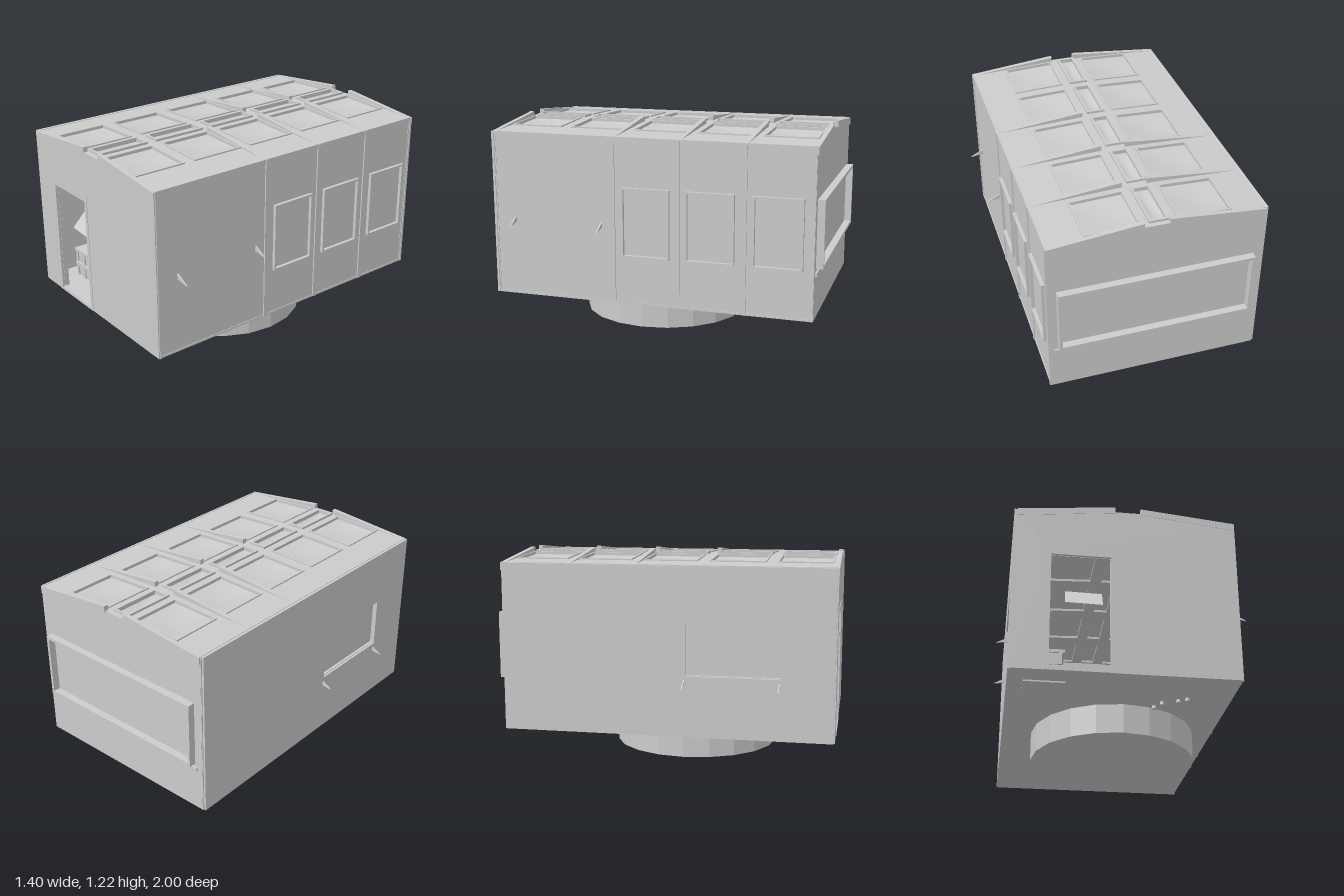
import * as THREE from 'three';

const grey = new THREE.MeshStandardMaterial({ color: 0xcccccc, side: THREE.DoubleSide });
const green = new THREE.MeshStandardMaterial({ color: 0xbfd4b8 });

// Flat plate spanning [a0,a1] x [b0,b1], with rectangular holes, extruded by d
function plate([a0, a1, b0, b1], d, holes = []) {
  const trace = (path, p, q, r, s) => path.moveTo(p, r).lineTo(q, r).lineTo(q, s).lineTo(p, s).closePath();
  const shape = new THREE.Shape();
  trace(shape, a0, a1, b0, b1);
  for (const h of holes) {
    const hole = new THREE.Path();
    trace(hole, ...h);
    shape.holes.push(hole);
  }
  return new THREE.ExtrudeGeometry(shape, { depth: d, bevelEnabled: false });
}

const frame = ([a0, a1, b0, b1], w, d) =>
  plate([a0, a1, b0, b1], d, [[a0 + w, a1 - w, b0 + w, b1 - w]]);

// Roof height: shallow slopes with a flat ridge
const RIDGE = 0.085, EAVE = 0.62;
const roofY = x => 1.165 + 0.022 * (EAVE - Math.max(Math.abs(x), RIDGE)) / (EAVE - RIDGE);

// Lays a plate (x, z) onto the roof slopes
function onRoof(geo, lift) {
  geo.rotateX(Math.PI / 2);
  const p = geo.attributes.position;
  for (let i = 0; i < p.count; i++) p.setY(i, p.getY(i) + lift + roofY(p.getX(i)));
  geo.computeVertexNormals();
  return geo;
}

export function createModel() {
  const model = new THREE.Group();
  const add = (name, geo, x = 0, y = 0, z = 0, mat = grey) => {
    const m = new THREE.Mesh(geo, mat);
    m.name = name;
    m.position.set(x, y, z);
    model.add(m);
    return m;
  };
  const box = (name, x0, x1, y0, y1, z0, z1, mat) =>
    add(name, new THREE.BoxGeometry(x1 - x0, y1 - y0, z1 - z0),
      (x0 + x1) / 2, (y0 + y1) / 2, (z0 + z1) / 2, mat);
  // Plate standing on a side wall, local x running along z
  const onSide = (name, geo, side, inner, d) => {
    const m = add(name, geo, side > 0 ? inner + d : -inner);
    m.rotation.y = -Math.PI / 2;
    return m;
  };

  // Round pedestal
  const pedestal = new THREE.CylinderGeometry(0.49, 0.49, 0.178, 20).toNonIndexed();
  pedestal.scale(1, 1, 1.03);
  pedestal.computeVertexNormals();
  add('pedestal', pedestal, 0.03, 0.089, 0.095);

  // Floor, end walls and side walls
  box('floor', -0.615, 0.615, 0.172, 0.19, -0.955, 0.995);
  const door = [-0.425, -0.09, 0.185, 0.88];
  add('frontWall', plate([-0.62, 0.62, 0.172, 1.165], 0.025, [door]), 0, 0, 0.972);
  box('backWall', -0.62, 0.62, 0.172, 1.165, -0.957, -0.935);
  const sideWindow = [0.14, 0.69, 0.53, 0.83];
  onSide('leftWall', plate([-0.95, 0.99, 0.172, 1.165], 0.02), 1, 0.597, 0.02);
  onSide('rightWall', plate([-0.95, 0.99, 0.172, 1.165], 0.02, [sideWindow]), -1, 0.597 + 0.02, 0.02);
  box('serviceWindow', -0.607, -0.6, 0.53, 0.83, 0.14, 0.69);
  box('serviceSill', -0.624, -0.6, 0.515, 0.535, 0.13, 0.7);

  // Door surround
  add('doorFrame', plate([-0.45, -0.065, 0.172, 0.92], 0.004, [door]), 0, 0, 0.996);
  add('doorLining', frame([-0.437, -0.078, 0.175, 0.892], 0.014, 0.03), 0, 0, 0.955);

  // Back window frame
  add('backWindowFrame', frame([-0.57, 0.57, 0.47, 0.865], 0.018, 0.043), 0, 0, -1);
  box('backWindowSill', -0.59, 0.59, 0.43, 0.45, -0.968, -0.95);

  // Side window frames and wall battens
  for (const side of [1, -1]) {
    const windows = side > 0 ? [0.03, -0.355, -0.75] : [-0.355, -0.75];
    for (const z of windows)
      onSide('sideWindowFrame', frame([z - 0.145, z + 0.145, 0.46, 0.875], 0.012, 0.025), side, 0.612, 0.025);
    const battens = [-0.95, -0.557, -0.167, 0.985];
    if (side > 0) battens.push(0.23);
    for (const z of battens) {
      const depth = Math.abs(z) > 0.9 ? 0.012 : 0.024;
      box('batten', side > 0 ? 0.61 : -0.625, side > 0 ? 0.625 : -0.61, 0.172, 1.165, z - depth / 2, z + depth / 2);

      // Tapered rafter above each batten
      const rafter = new THREE.Shape();
      const inner = side > 0 ? 0.08 : 0.065;
      rafter.moveTo(side * 0.62, 1.12).lineTo(side * 0.62, 1.165).lineTo(side * 0.58, 1.168)
        .lineTo(side * inner, 1.218).lineTo(side * inner, 1.18).closePath();
      add('rafter', new THREE.ExtrudeGeometry(rafter, { depth: 0.028, bevelEnabled: false }), 0, 0, z - 0.014);
    }
    // Eave and base trims
    box('eaveTrim', side * 0.615 - 0.006, side * 0.615 + 0.006, 1.15, 1.168, -0.955, 0.99);
    box('baseTrim', side * 0.615 - 0.006, side * 0.615 + 0.006, 0.172, 0.184, -0.955, 0.99);

    // Small wall hooks
    const y = side > 0 ? 0.66 : 0.52;
    for (const z of side > 0 ? [0.305, 0.855] : [0.13, 0.68]) {
      const hook = new THREE.Shape();
      hook.moveTo(side * 0.61, y).lineTo(side * 0.7, y - 0.048).lineTo(side * 0.61, y - 0.036).closePath();
      add('wallHook', new THREE.ExtrudeGeometry(hook, { depth: 0.008, bevelEnabled: false }), 0, 0, z - 0.004);
    }
  }

  // Roof in three strips, each with a row of five skylights
  const rows = [[-0.915, -0.62], [-0.53, -0.23], [-0.135, 0.165], [0.255, 0.565], [0.65, 0.95]];
  const strips = [
    [-EAVE, -RIDGE, -0.42, -0.125],
    [-RIDGE, RIDGE, -0.055, 0.03],
    [RIDGE, EAVE, 0.1, 0.395],
  ];
  strips.forEach(([x0, x1, s0, s1], k) => {
    add('roofPanel', onRoof(plate([x0, x1, -0.957, 0.997], 0.025, rows.map(([a, b]) => [s0, s1, a, b])), 0));
    for (const [a, b] of rows) {
      const w = k === 1 ? 0.014 : 0.01;
      add('skylightRim', onRoof(frame([s0 - w, s1 + w, a - w, b + w], w, 0.02), k === 1 ? 0.014 : 0.008));
      // Dished pane
      const pane = new THREE.PlaneGeometry(s1 - s0, b - a, 8, 8).rotateX(-Math.PI / 2);
      const p = pane.attributes.position;
      for (let i = 0; i < p.count; i++) {
        const u = 2 * p.getX(i) / (s1 - s0), v = 2 * p.getZ(i) / (b - a);
        p.setY(i, roofY(p.getX(i) + (s0 + s1) / 2) - 0.01 - 0.014 * (1 - u * u) * (1 - v * v));
      }
      pane.computeVertexNormals();
      add('skylightPane', pane, (s0 + s1) / 2, 0, (a + b) / 2);
    }
  });

  // Fittings under the floor
  for (const [x, z] of [[0.205, 0.6], [0.24, 0.66], [0.325, 0.7], [0.37, 0.73]])
    add('underfloorPeg', new THREE.CylinderGeometry(0.01, 0.014, 0.024, 8), x, 0.164, z);
  box('underfloorPlate', -0.55, -0.32, 0.163, 0.173, 0.7, 0.86);

  // Stacked chest inside the door
  for (const y of [0.19, 0.285]) {
    box('chest', -0.52, -0.34, y, y + 0.075, 0.63, 0.83);
    box('chestLid', -0.53, -0.325, y + 0.07, y + 0.088, 0.62, 0.84);
    for (const x of [-0.51, -0.43, -0.35]) box('chestStrap', x - 0.01, x + 0.01, y, y + 0.075, 0.625, 0.838);
  }

  // Bed at the back
  box('bedFrame', -0.3, 0.5, 0.25, 0.285, -0.9, -0.45);
  box('mattress', -0.28, 0.48, 0.285, 0.32, -0.88, -0.47, green);
  for (const x of [-0.28, 0.48]) for (const z of [-0.88, -0.47])
    box('bedLeg', x - 0.015, x + 0.015, 0.185, 0.26, z - 0.015, z + 0.015);
  box('backBench', -0.59, 0.59, 0.36, 0.38, -0.935, -0.88);

  // Tilted sheet hanging behind the doorway
  const sheet = box('hangingSheet', -0.335, -0.125, 0.58, 0.78, 0.876, 0.88);
  sheet.rotation.set(-0.75, 0, -0.05);

  return model;
}
